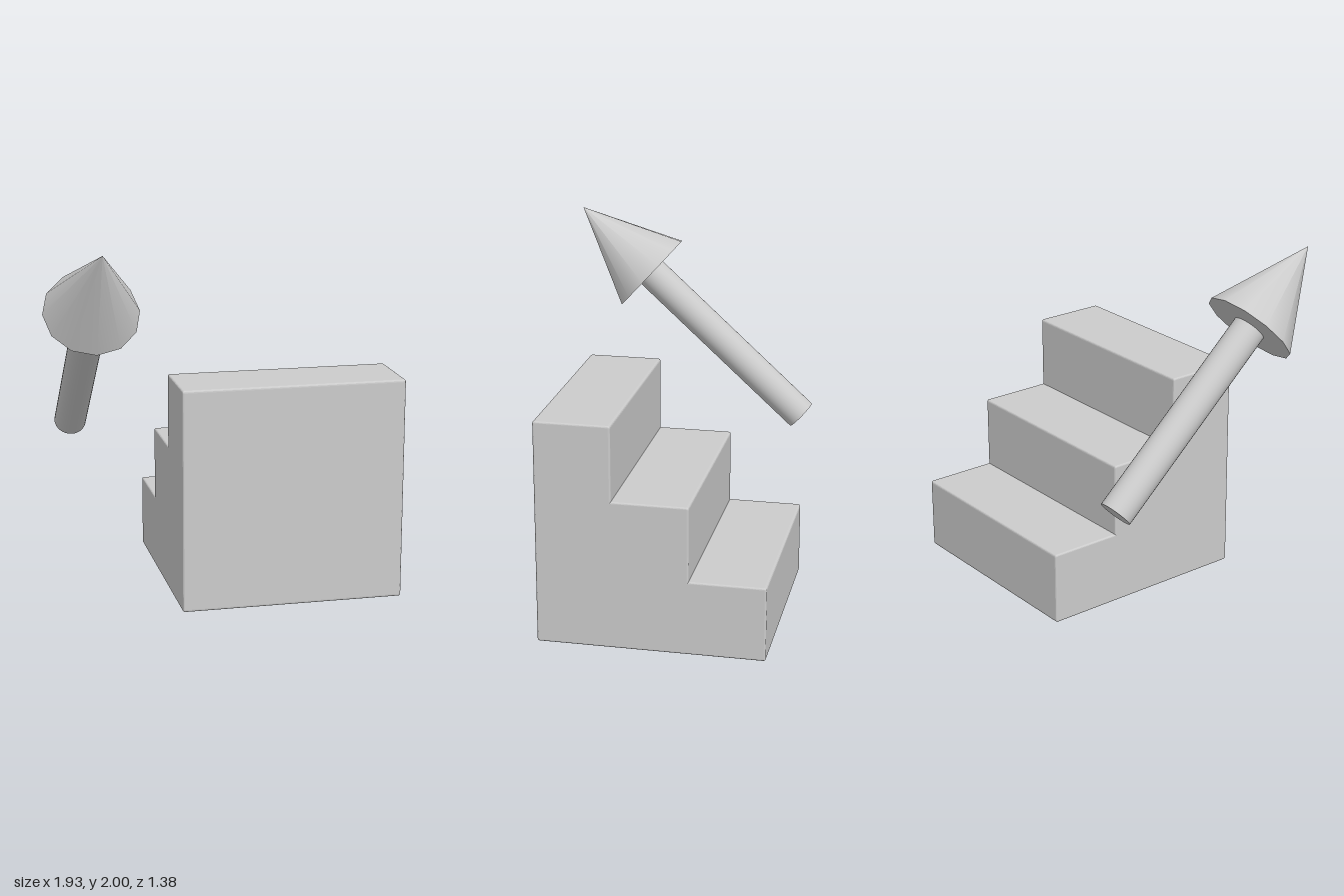
import * as THREE from 'three';

const material = new THREE.MeshStandardMaterial({ color: 0xcccccc });

function addMesh(parent, name, geometry) {
  const mesh = new THREE.Mesh(geometry, material);
  mesh.name = name;
  parent.add(mesh);
  return mesh;
}

// Closed outline with every convex corner softened by a small arc
function softOutline(points, radius) {
  const shape = new THREE.Shape();
  const n = points.length;
  points.forEach((p, i) => {
    const toPrev = points[(i + n - 1) % n].clone().sub(p).normalize();
    const toNext = points[(i + 1) % n].clone().sub(p).normalize();
    const convex = toPrev.cross(toNext) < 0;
    const r = convex ? radius : 0;
    const a = p.clone().addScaledVector(toPrev, r);
    const b = p.clone().addScaledVector(toNext, r);
    if (i === 0) shape.moveTo(a.x, a.y);
    else shape.lineTo(a.x, a.y);
    if (convex) shape.quadraticCurveTo(p.x, p.y, b.x, b.y);
  });
  shape.closePath();
  return shape;
}

// Three steps climbing towards the front, extruded across the width
function createStairs() {
  const steps = 3, front = -0.545, run = 0.4115, rise = 0.413;
  const width = 1.235, bevel = 0.01;
  const points = [new THREE.Vector2(front, 0), new THREE.Vector2(front + steps * run, 0)];
  for (let i = 1; i <= steps; i++) {
    points.push(new THREE.Vector2(front + (steps - i + 1) * run, i * rise));
    if (i < steps) points.push(new THREE.Vector2(front + (steps - i) * run, i * rise));
  }
  points.push(new THREE.Vector2(front, steps * rise));
  points.splice(points.length - 1, 1);
  points.push(new THREE.Vector2(front, steps * rise));

  const geometry = new THREE.ExtrudeGeometry(softOutline(points, 0.014), {
    depth: width - 2 * bevel,
    curveSegments: 4,
    bevelThickness: bevel,
    bevelSize: bevel,
    bevelOffset: -bevel,
    bevelSegments: 4,
  });
  geometry.translate(0, 0, -width / 2 + bevel);
  geometry.rotateY(Math.PI / 2);
  return geometry;
}

// Arrow along its own y axis, with the origin at the base of the head
function createArrow() {
  const arrow = new THREE.Group();
  arrow.name = 'arrow';
  const headLength = 0.554, shaftLength = 1.218;
  addMesh(arrow, 'arrowHead', new THREE.ConeGeometry(0.262, headLength, 12))
    .position.y = headLength / 2;
  addMesh(arrow, 'arrowShaft', new THREE.CylinderGeometry(0.092, 0.092, shaftLength, 32))
    .position.y = -shaftLength / 2;
  return arrow;
}

export function createModel() {
  const model = new THREE.Group();
  model.name = 'stairsWithArrow';

  addMesh(model, 'stairs', createStairs()).position.x = 0.3475;

  // Arrow leans forward, pointing up the flight beside the stairs
  const arrow = createArrow();
  arrow.position.set(-0.708, 1.628, 0.28);
  arrow.rotation.x = 0.833;
  model.add(arrow);

  return model;
}
